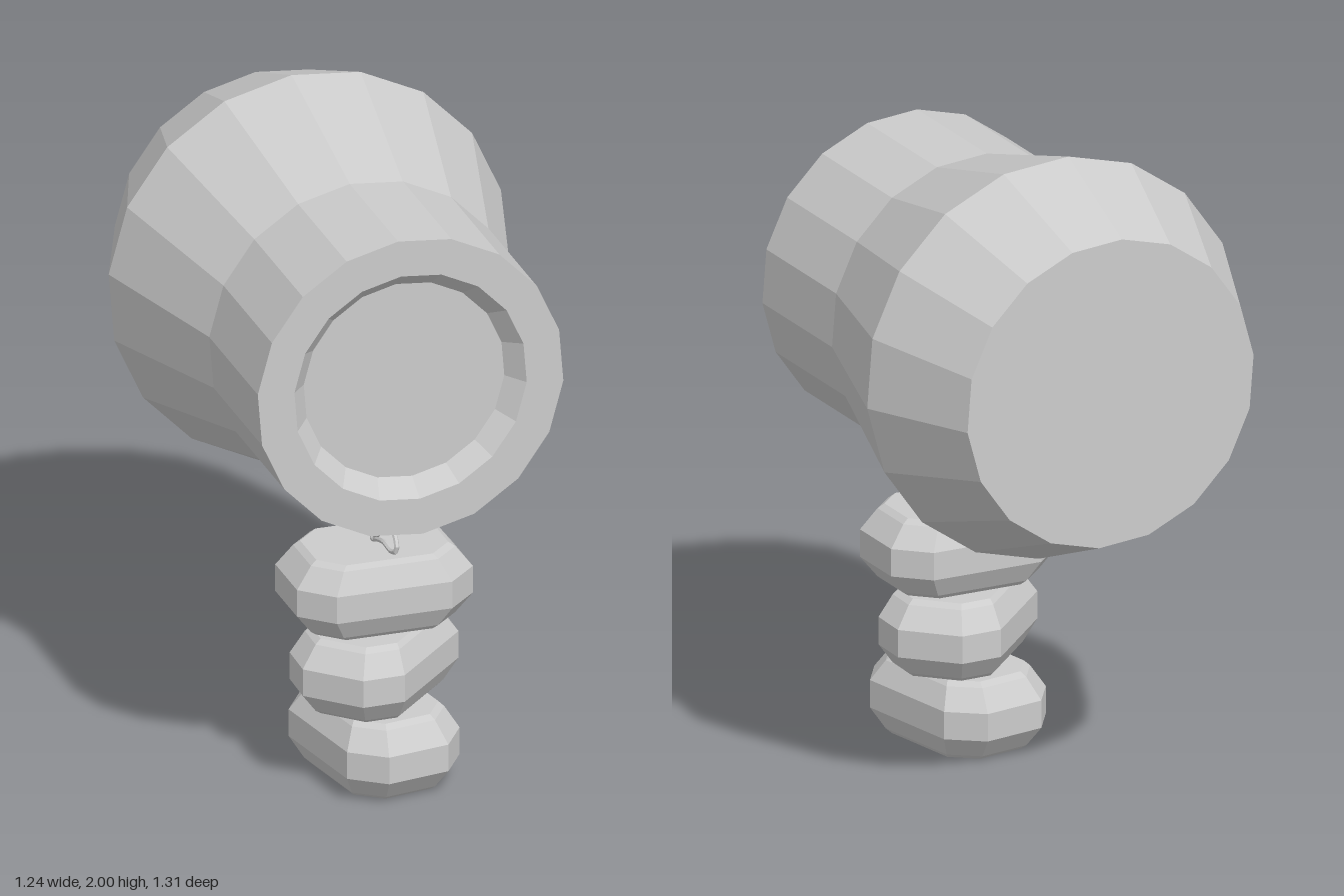
import * as THREE from 'three';

const material = new THREE.MeshStandardMaterial({ color: 0xcccccc, flatShading: true, side: THREE.DoubleSide });
const toV2 = (pts) => pts.map(([r, y]) => new THREE.Vector2(r, y));

function addPart(parent, name, geometry, faceted = true) {
  if (faceted) {
    geometry = geometry.toNonIndexed();
    geometry.computeVertexNormals();
  }
  const mesh = new THREE.Mesh(geometry, material);
  mesh.name = name;
  parent.add(mesh);
  return mesh;
}

// Stone slab: a turned profile whose eight sides are moved onto a long octagon
function slabGeometry() {
  const profile = [[0, -0.121], [0.75, -0.121], [0.82, -0.107], [1, -0.043],
    [1, 0.043], [0.82, 0.107], [0.75, 0.121], [0, 0.121]];
  const octagon = [[0.1, 0.275], [0.19, 0.18], [0.19, -0.18], [0.1, -0.275],
    [-0.1, -0.275], [-0.19, -0.18], [-0.19, 0.18], [-0.1, 0.275]];
  const geometry = new THREE.LatheGeometry(toV2(profile), 8);
  const pos = geometry.attributes.position;
  for (let i = 0; i < pos.count; i++) {
    const scale = profile[i % profile.length][0];
    const [x, z] = octagon[Math.floor(i / profile.length) % 8];
    pos.setXYZ(i, x * scale, pos.getY(i), z * scale);
  }
  return geometry;
}

export function createModel() {
  const model = new THREE.Group();
  model.name = 'hangingBarrel';

  // Barrel lying along z, with a recessed front opening
  const barrelProfile = [[0, -0.655], [0.48, -0.655], [0.625, -0.29], [0.48, 0.21],
    [0.48, 0.655], [0.365, 0.655], [0.315, 0.595], [0, 0.595]];
  const barrel = new THREE.LatheGeometry(toV2(barrelProfile), 18, THREE.MathUtils.degToRad(4.6));
  barrel.rotateX(Math.PI / 2);
  addPart(model, 'barrel', barrel).position.y = 1.38;

  // Three stacked slabs, each turned differently
  const slab = slabGeometry();
  [['lowerSlab', 10], ['middleSlab', -45], ['upperSlab', 90]].forEach(([name, yaw], i) => {
    const mesh = addPart(model, name, slab);
    mesh.position.set(0, 0.126 + 0.248 * i, 0.32);
    mesh.rotation.y = THREE.MathUtils.degToRad(yaw);
  });

  // Tied string: two strands up to the barrel and a bow with two loops
  const string = new THREE.Group();
  string.name = 'string';
  string.position.set(0, 0.75, 0.32);
  model.add(string);
  for (const side of [1, -1]) {
    const strand = new THREE.LineCurve3(
      new THREE.Vector3(0, 0, 0), new THREE.Vector3(side * 0.012, 0.16, side * 0.085));
    addPart(string, 'strand', new THREE.TubeGeometry(strand, 1, 0.008, 6), false);

    const loopPoints = [[0, 0, 0], [0.004, 0.065, 0.075], [0.006, 0.093, 0.13], [0.004, 0.078, 0.185],
      [0, 0.05, 0.207], [-0.004, 0.034, 0.18], [-0.006, 0.036, 0.11], [0, 0.005, 0.01]]
      .map(([x, y, z]) => new THREE.Vector3(side * x, y, side * z));
    const loop = new THREE.CatmullRomCurve3(loopPoints);
    addPart(string, 'bowLoop', new THREE.TubeGeometry(loop, 28, 0.008, 6), false);
  }
  const knot = addPart(string, 'knot', new THREE.IcosahedronGeometry(0.013, 1), false);
  knot.position.y = 0.005;

  return model;
}
